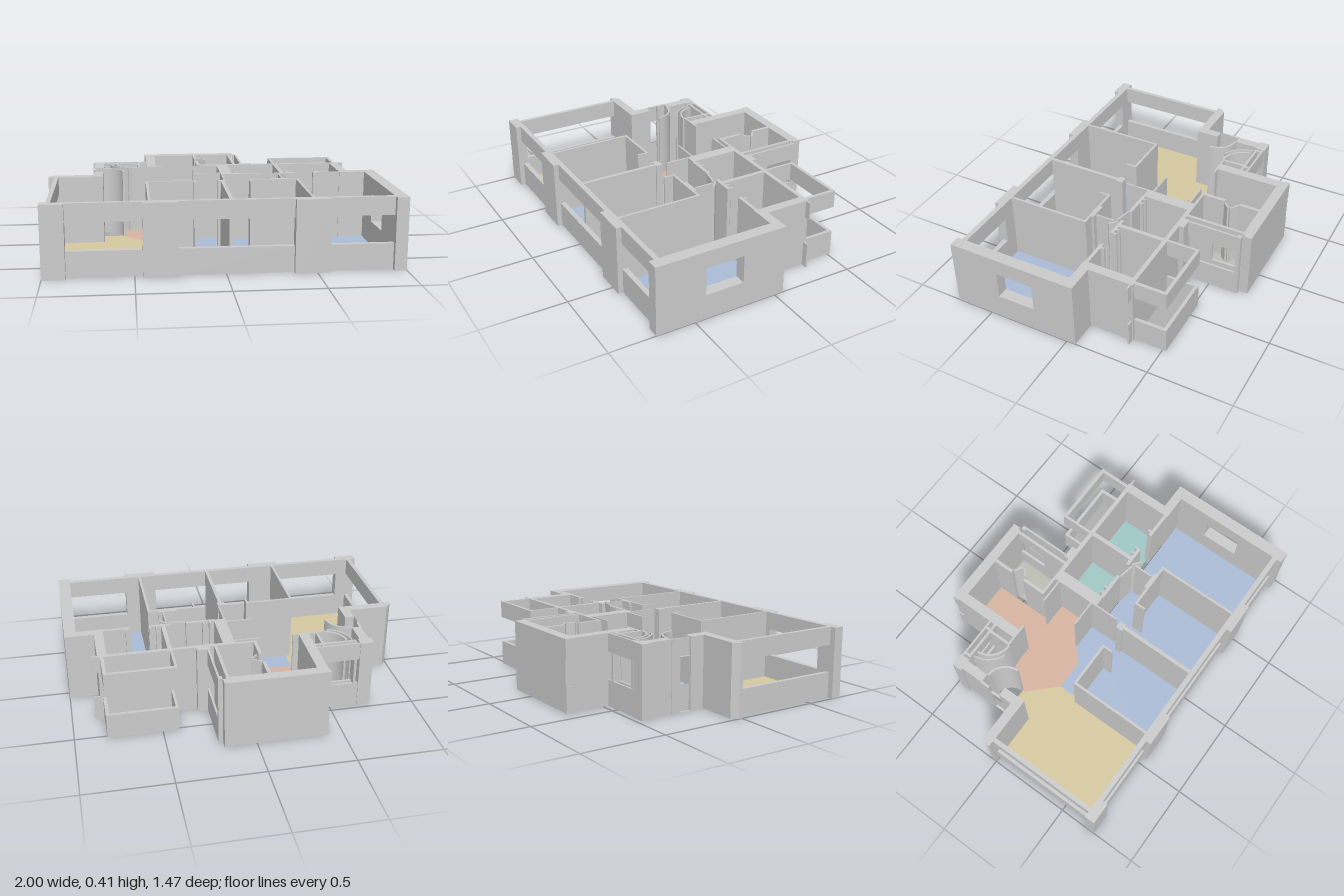
import * as THREE from 'three';

const H = 0.415, SILL = 0.15, HEAD = 0.31;

export function createModel() {
  const model = new THREE.Group();
  model.name = 'apartment';
  const wallMat = new THREE.MeshStandardMaterial({ color: 0xcccccc });

  const add = (name, geo, mat = wallMat) => {
    const mesh = new THREE.Mesh(geo, mat);
    mesh.name = name;
    model.add(mesh);
    return mesh;
  };
  // Box between plan corners
  const wall = (name, x0, x1, z0, z1, y0 = 0, y1 = H) =>
    add(name, new THREE.BoxGeometry(x1 - x0, y1 - y0, z1 - z0))
      .position.set((x0 + x1) / 2, (y0 + y1) / 2, (z0 + z1) / 2);
  // Sill and lintel with an opening between
  const bands = (name, x0, x1, z0, z1) => {
    wall(name + 'Sill', x0, x1, z0, z1, 0, SILL);
    wall(name + 'Lintel', x0, x1, z0, z1, HEAD, H);
  };
  // Plan outline raised to a height
  const extrude = (points, depth) =>
    new THREE.ExtrudeGeometry(new THREE.Shape(points.map(([x, z]) => new THREE.Vector2(x, -z))),
      { depth, bevelEnabled: false }).rotateX(-Math.PI / 2);
  const floor = (name, color, points) =>
    add(name, extrude(points, 0.004), new THREE.MeshStandardMaterial({ color })).position.y = 0.0015;
  const arc = (cx, cz, r, a0, a1, n = 12) => Array.from({ length: n + 1 }, (_, i) => {
    const a = a0 + (a1 - a0) * i / n;
    return [cx + r * Math.cos(a), cz + r * Math.sin(a)];
  });
  const curvedWall = (name, cx, cz, r, a0, a1, t = 0.012) =>
    add(name, extrude([...arc(cx, cz, r, a0, a1), ...arc(cx, cz, r - t, a1, a0)], H));
  const rect = (x0, x1, z0, z1) => [[x0, z0], [x1, z0], [x1, z1], [x0, z1]];

  // Floors
  floor('cornerRoomFloor', 0xd6c9a0, [[-0.94, 0], [-0.675, 0], [-0.675, -0.14], [-0.565, -0.14],
    [-0.395, 0.035], [-0.395, 0.165], [-0.415, 0.165], [-0.415, 0.67], [-0.94, 0.67]]);
  floor('hallFloor', 0xd8b4a2, [[-0.345, -0.675], [-0.085, -0.675], [-0.085, -0.285], [0.04, -0.285],
    [0.04, -0.045], [-0.125, -0.045], [-0.205, 0.035], [-0.395, 0.035], [-0.565, -0.14],
    ...arc(-0.675, -0.14, 0.125, 0, -Math.PI / 2), [-0.675, -0.4], [-0.63, -0.4],
    ...arc(-0.45, -0.42, 0.145, Math.PI * 0.95, Math.PI / 2), [-0.345, -0.28]]);
  floor('bedroomFloor', 0xaabcd6, [[-0.395, 0.035], [-0.205, 0.035], [-0.125, -0.045], [0.045, -0.045],
    [0.045, 0], [0.93, 0], [0.93, 0.67], [-0.415, 0.67], [-0.415, 0.165], [-0.395, 0.165]]);
  floor('kitchenFloor', 0xbcbfb6, rect(-0.065, 0.15, -0.675, -0.325));
  floor('bathroomFloor', 0xa0c8c6, rect(0.11, 0.405, -0.3, -0.025));
  floor('washroomFloor', 0xa0c8c6, rect(0.43, 0.775, -0.3, -0.025));
  floor('balconyFloor', 0xb0b0b0, rect(0.415, 0.795, -0.5, -0.32));
  floor('showerFloor', 0xc4c2b8, [[-0.46, -0.41], ...arc(-0.46, -0.41, 0.13, Math.PI / 2, Math.PI)]);

  // Front facade: piers and windows
  for (const [x0, x1] of [[-1, -0.87], [-0.455, -0.26], [0.375, 0.57], [0.93, 1]])
    wall('frontPier', x0, x1, 0.67, 0.73);
  for (const [x0, x1] of [[-0.87, -0.455], [-0.26, 0.375], [0.57, 0.93]])
    bands('frontWindow', x0, x1, 0.67, 0.7);

  // Right wall around its small window
  wall('rightWall', 0.93, 1, -0.055, 0.205);
  wall('rightWall', 0.93, 1, 0.435, 0.67);
  wall('rightWindowSill', 0.93, 1, 0.205, 0.435, 0, SILL);
  wall('rightWindowHead', 0.93, 1, 0.205, 0.435, 0.315, H);
  wall('rightRearWall', 0.78, 0.93, -0.055, 0);

  // Left side
  bands('leftWindow', -0.965, -0.94, 0, 0.67);
  add('leftRearWall', extrude([[-1, 0], [-1, -0.02], [-0.97, -0.055], [-0.73, -0.055],
    [-0.73, -0.14], [-0.675, -0.14], [-0.675, 0]], H));
  bands('closetWindow', -0.73, -0.715, -0.14, -0.215);
  wall('closetPost', -0.735, -0.72, -0.27, -0.215);
  wall('entryWall', -0.73, -0.675, -0.41, -0.27);
  wall('entryPier', -0.745, -0.665, -0.47, -0.41);
  curvedWall('closetCurvedWall', -0.675, -0.14, 0.13, 0, -Math.PI / 2);

  // Shower niche
  bands('showerWindowOuter', -0.665, -0.405, -0.465, -0.453);
  bands('showerWindowInner', -0.64, -0.405, -0.43, -0.415);
  wall('showerPost', -0.65, -0.635, -0.465, -0.415);
  wall('showerPost', -0.455, -0.44, -0.465, -0.415);
  wall('showerSideWall', -0.46, -0.445, -0.415, -0.29);
  curvedWall('showerCurvedWall', -0.46, -0.415, 0.145, Math.PI / 2, Math.PI * 0.97);
  curvedWall('showerOuterCurve', -0.46, -0.42, 0.175, Math.PI * 0.62, Math.PI * 0.97, 0.008);
  wall('showerFrontWall', -0.46, -0.31, -0.29, -0.278);

  // Rear block
  wall('rearWall', -0.405, 0.17, -0.735, -0.675);
  wall('rearCorner', 0.14, 0.185, -0.735, -0.69);
  bands('rearCornerTrim', -0.412, -0.405, -0.735, -0.7);
  wall('rearLeftWall', -0.405, -0.345, -0.675, -0.28);
  wall('kitchenLeftWall', -0.085, -0.065, -0.675, -0.55);
  wall('kitchenLeftWall', -0.085, -0.065, -0.46, -0.31);
  wall('kitchenFrontWall', -0.085, 0.165, -0.325, -0.31);
  wall('hallStubWall', -0.115, 0.04, -0.288, -0.278);
  bands('kitchenWindow', 0.148, 0.165, -0.675, -0.49);
  wall('kitchenRightWall', 0.148, 0.165, -0.49, -0.325);
  bands('kitchenOuterWindow', 0.198, 0.21, -0.655, -0.345);
  wall('outerWindowPost', 0.185, 0.21, -0.68, -0.655);
  wall('outerWindowPost', 0.19, 0.27, -0.355, -0.325);

  // Wet rooms
  wall('wetRoomsRearWall', 0.04, 0.83, -0.325, -0.3);
  wall('wetRoomsLeftWall', 0.04, 0.11, -0.3, -0.01);
  wall('wetRoomsDivider', 0.405, 0.43, -0.3, -0.02);
  wall('wetRoomsRightWall', 0.775, 0.83, -0.3, 0);
  wall('wetRoomsFrontWall', 0.11, 0.28, -0.025, -0.005);
  wall('wetRoomsFrontWall', 0.37, 0.5, -0.025, -0.005);
  wall('wetRoomsFrontWall', 0.61, 0.775, -0.025, -0.005);
  for (const x of [0.13, 0.17, 0.45, 0.49, 0.63]) wall('doorJamb', x, x + 0.012, -0.045, -0.025);
  bands('rearTrim', 0.83, 0.865, -0.318, -0.308);

  // Balcony parapet and upper rail
  bands('balconyRear', 0.405, 0.815, -0.52, -0.5);
  bands('balconyLeft', 0.405, 0.42, -0.5, -0.325);
  bands('balconyRight', 0.795, 0.815, -0.5, -0.325);

  // Bedroom partitions
  wall('partition', -0.423, -0.408, 0.165, 0.67);
  wall('partition', 0.018, 0.04, 0.2, 0.67);
  wall('partitionEnd', 0.003, 0.05, 0.165, 0.205);
  wall('partition', 0.47, 0.485, 0.165, 0.67);
  for (const [x0, x1, stub] of [[-0.408, -0.13, -0.142], [0.19, 0.47, 0.19]]) {
    wall('corridorWall', x0, x1, 0.165, 0.18);
    wall('corridorStub', stub, stub + 0.012, 0.18, 0.235);
  }
  wall('corridorBlock', 0.31, 0.42, 0.15, 0.165);
  wall('corridorDivider', 0.04, 0.05, -0.01, 0.135);
  wall('corridorDivider', 0.388, 0.398, 0.03, 0.145);
  wall('corridorRearWall', -0.125, 0.04, -0.05, -0.04);

  // Door leaves standing ajar
  for (const [x, z, len, turn] of [[0.33, 0.005, 0.1, -0.2], [0.41, 0.025, 0.06, -0.7],
    [-0.04, -0.53, 0.06, -0.6], [-0.035, -0.485, 0.05, 0.8]]) {
    const door = add('doorLeaf', new THREE.BoxGeometry(len, H, 0.01));
    door.position.set(x, H / 2, z);
    door.rotation.y = turn;
  }
  return model;
}
